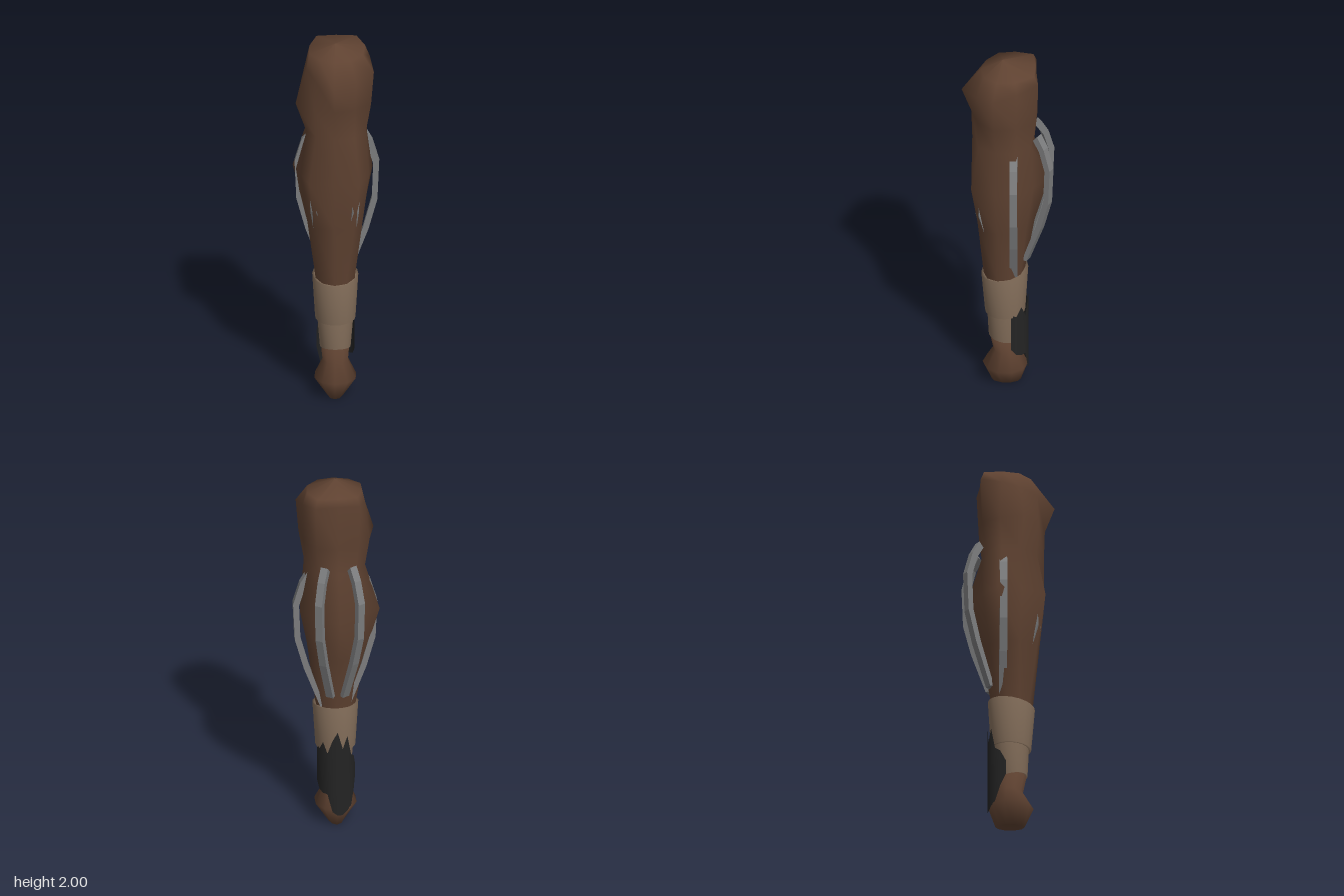
import * as THREE from 'three';

const mat = (name, color, side = THREE.FrontSide) => {
  const m = new THREE.MeshStandardMaterial({ color, side });
  m.name = name;
  return m;
};

// Closed loft through rings listed from top to bottom.
// ring: { y, r: number or list of radii starting at the front, z: centre, tilt: slope of y over z, sx: width factor }
function loft(rings, n) {
  const pos = [], index = [];
  rings.forEach(({ y, r, z = 0, tilt = 0, sx = 1 }, i) => {
    for (let k = 0; k < n; k++) {
      const a = (k / n) * Math.PI * 2;
      const rad = Array.isArray(r) ? r[k] : r;
      const dz = Math.cos(a) * rad;
      pos.push(Math.sin(a) * rad * sx, y + tilt * dz, z + dz);
      if (i === rings.length - 1) continue;
      const p = i * n + k, q = i * n + (k + 1) % n;
      index.push(p, p + n, q + n, p, q + n, q);
    }
  });
  const g = new THREE.BufferGeometry();
  g.setAttribute('position', new THREE.Float32BufferAttribute(pos, 3));
  g.setIndex(index);
  g.computeVertexNormals();
  return g;
}

export function createModel() {
  const group = new THREE.Group();
  const skin = mat('brown skin', 0x5f4231);
  const cloth = mat('tan wrapping', 0x86705c, THREE.DoubleSide);
  const metal = mat('grey metal', 0x7c7d7e);
  const leather = mat('black guard', 0x242424, THREE.DoubleSide);
  const add = (name, geo, material) => {
    const m = new THREE.Mesh(geo, material);
    m.name = name;
    group.add(m);
    return m;
  };

  // Limb: faceted five-sided knob on top, opposed five-sided bulge below, tapering to the wrist
  add('limb', loft([
    { y: 2.0, r: 0.001, z: 0.02 },
    { y: 1.955, r: [.13, .14, .15, .16, .18, .15, .17, .14, .14, .13], tilt: -0.1 },
    { y: 1.88, r: [.23, .19, .21, .185, .205, .155, .19, .155, .155, .17], tilt: -0.29 },
    { y: 1.68, r: [.18, .18, .195, .18, .19, .16, .18, .18, .213, .18] },
    { y: 1.52, r: [.175, .175, .167, .165, .16, .145, .155, .155, .157, .165] },
    { y: 1.27, r: [.176, .22, .185, .2, .175, .22, .18, .232, .185, .22] },
    { y: 1.0, r: [.15, .17, .148, .145, .13, .145, .13, .155, .15, .17] },
    { y: 0.7, r: 0.108, z: 0.012 },
    { y: 0.3, r: 0.07, z: 0.01 },
  ], 10), skin);

  // Fist: narrow wrist, wide knuckles, hollow underside
  add('hand', loft([
    { y: 0.3, r: 0.001 },
    { y: 0.29, r: 0.076, z: 0.01 },
    { y: 0.2, r: 0.068 },
    { y: 0.11, r: 0.117, z: 0.005, sx: 0.95 },
    { y: 0.005, r: 0.075, sx: 0.55 },
    { y: 0.03, r: 0.001 },
  ], 10), skin);

  // Two overlapping cloth wraps
  add('upperWrap', loft([
    { y: 0.685, r: 0.1, z: 0.008, tilt: -0.17 },
    { y: 0.69, r: 0.121, z: 0.008, tilt: -0.17, sx: 0.98 },
    { y: 0.445, r: 0.104, z: 0.006, tilt: -0.05 },
    { y: 0.445, r: 0.085, z: 0.006, tilt: -0.05 },
  ], 20), cloth);
  add('lowerWrap', loft([
    { y: 0.46, r: 0.094, z: 0.005 },
    { y: 0.28, r: 0.079, z: 0.012, tilt: 0.17 },
    { y: 0.285, r: 0.065, z: 0.012, tilt: 0.17 },
  ], 20), cloth);

  // Torn guard wrapped round the back of the wrist
  const top = [.46, .45, .5, .44, .52, .57, .47, .54, .42, .4, .34];
  const low = [.25, .21, .2, .2, .1, .08, .08, .1, .12, .2, .26];
  const pos = [], index = [];
  top.forEach((t, i) => {
    const a = (i / (top.length - 1) - 0.5) * 2.7;
    const x = -Math.sin(a) * 0.1, z = -Math.cos(a) * 0.115;
    pos.push(x, t, z, x, low[i], z);
    if (i) {
      const p = i * 2 - 2;
      index.push(p, p + 1, p + 3, p, p + 3, p + 2);
    }
  });
  const guard = new THREE.BufferGeometry();
  guard.setAttribute('position', new THREE.Float32BufferAttribute(pos, 3));
  guard.setIndex(index);
  guard.computeVertexNormals();
  add('wristGuard', guard, leather);

  // Six bent metal struts arranged around the bulge, higher at the back
  const outer = [[.15, 1.5], [.19, 1.43], [.225, 1.31], [.216, 1.1], [.17, .93], [.085, .7]];
  const inner = [[.06, .7], [.142, .94], [.187, 1.11], [.194, 1.3], [.162, 1.41], [.125, 1.47]];
  const profile = new THREE.Shape([...outer, ...inner].map(([x, y]) => new THREE.Vector2(x, y)).reverse());
  for (let i = 0; i < 6; i++) {
    const geo = new THREE.ExtrudeGeometry(profile, { depth: 0.04, bevelEnabled: false });
    geo.translate(i === 3 ? -0.015 : 0, 0, -0.02);
    const strut = add('strut' + (i + 1), geo, metal);
    strut.rotation.y = (i * Math.PI) / 3;
    strut.position.set(0, i === 1 || i === 2 ? 0.08 : 0, -0.04);
  }
  return group;
}
